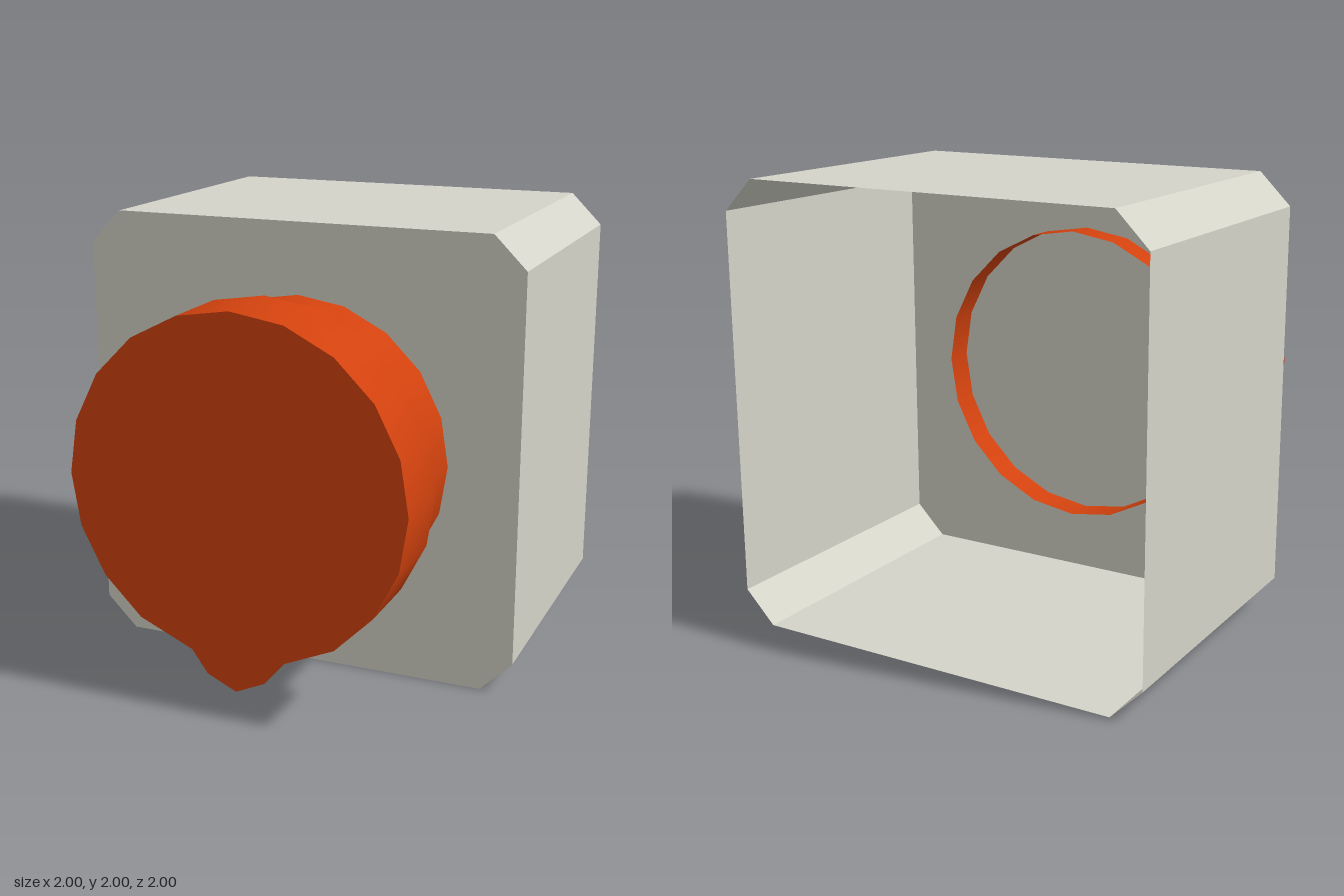
import * as THREE from 'three';
import { toCreasedNormals } from 'three/addons/utils/BufferGeometryUtils.js';

const SIDES = 20, CENTRE_Y = 1;
const FRONT = 0.335, BACK = -1, STEP = 0.67, TIP = 1;

const paint = (color) => new THREE.MeshStandardMaterial({ color, side: THREE.DoubleSide });

function addMesh(parent, name, geometry, material) {
  const mesh = new THREE.Mesh(geometry, material);
  mesh.name = name;
  parent.add(mesh);
  return mesh;
}

// Walls joining each outline edge from the front plane to the back plane
function wallGeometry(outline, front, back) {
  const pos = [];
  outline.forEach((a, i) => {
    const b = outline[(i + 1) % outline.length];
    pos.push(a.x, a.y, front, a.x, a.y, back, b.x, b.y, back);
    pos.push(a.x, a.y, front, b.x, b.y, back, b.x, b.y, front);
  });
  const geometry = new THREE.BufferGeometry();
  geometry.setAttribute('position', new THREE.Float32BufferAttribute(pos, 3));
  geometry.computeVertexNormals();
  return geometry;
}

export function createModel() {
  const model = new THREE.Group();
  model.name = 'housingWithKnob';
  const grey = paint(0xd4d4c9);
  const orange = paint(0xd2420e);

  // Housing: bevelled square shell, closed at the front and open at the back
  const housing = new THREE.Group();
  housing.name = 'housing';
  model.add(housing);
  const c = 0.857;
  const outline = [[1, -c], [1, c], [c, 1], [-c, 1], [-1, c], [-1, -c], [-c, -1], [c, -1]]
    .map(([x, y]) => new THREE.Vector2(x, y + CENTRE_Y));
  addMesh(housing, 'housingWalls', wallGeometry(outline, FRONT, BACK), grey);
  const panel = new THREE.ShapeGeometry(new THREE.Shape(outline));
  addMesh(housing, 'frontPanel', panel, grey).position.z = FRONT;

  // Collar: open tube that passes through the front panel
  const inner = 0.2;
  const collar = new THREE.CylinderGeometry(0.687, 0.687, STEP - inner, SIDES, 1, true);
  collar.rotateX(Math.PI / 2);
  addMesh(model, 'collar', collar, orange).position.set(0, CENTRE_Y, (STEP + inner) / 2);

  // Knob cap: twenty-sided disc with a pointer tab at the bottom
  const tab = [[-0.2, -0.71], [-0.13, -0.808], [0, -0.868], [0.13, -0.808], [0.2, -0.71]];
  const rim = [];
  for (let i = 0; i < SIDES; i++) {
    if (i === SIDES / 2) continue;
    const a = -Math.PI / 2 + (i + SIDES / 2) * 2 * Math.PI / SIDES;
    rim.push([0.747 * Math.cos(a), 0.747 * Math.sin(a)]);
  }
  // The rim points beside the tab give way to the tab's shoulders
  const points = [...tab, ...rim.filter(([x, y]) => !(y < -0.7 && Math.abs(x) < 0.3))];
  points.sort((p, q) => Math.atan2(p[1], p[0]) - Math.atan2(q[1], q[0]));
  const capShape = new THREE.Shape(points.map(([x, y]) => new THREE.Vector2(x, y)));
  const cap = new THREE.ExtrudeGeometry(capShape, { depth: TIP - STEP, bevelEnabled: false });
  addMesh(model, 'knobCap', toCreasedNormals(cap, 0.4), orange).position.set(0, CENTRE_Y, STEP);

  return model;
}
